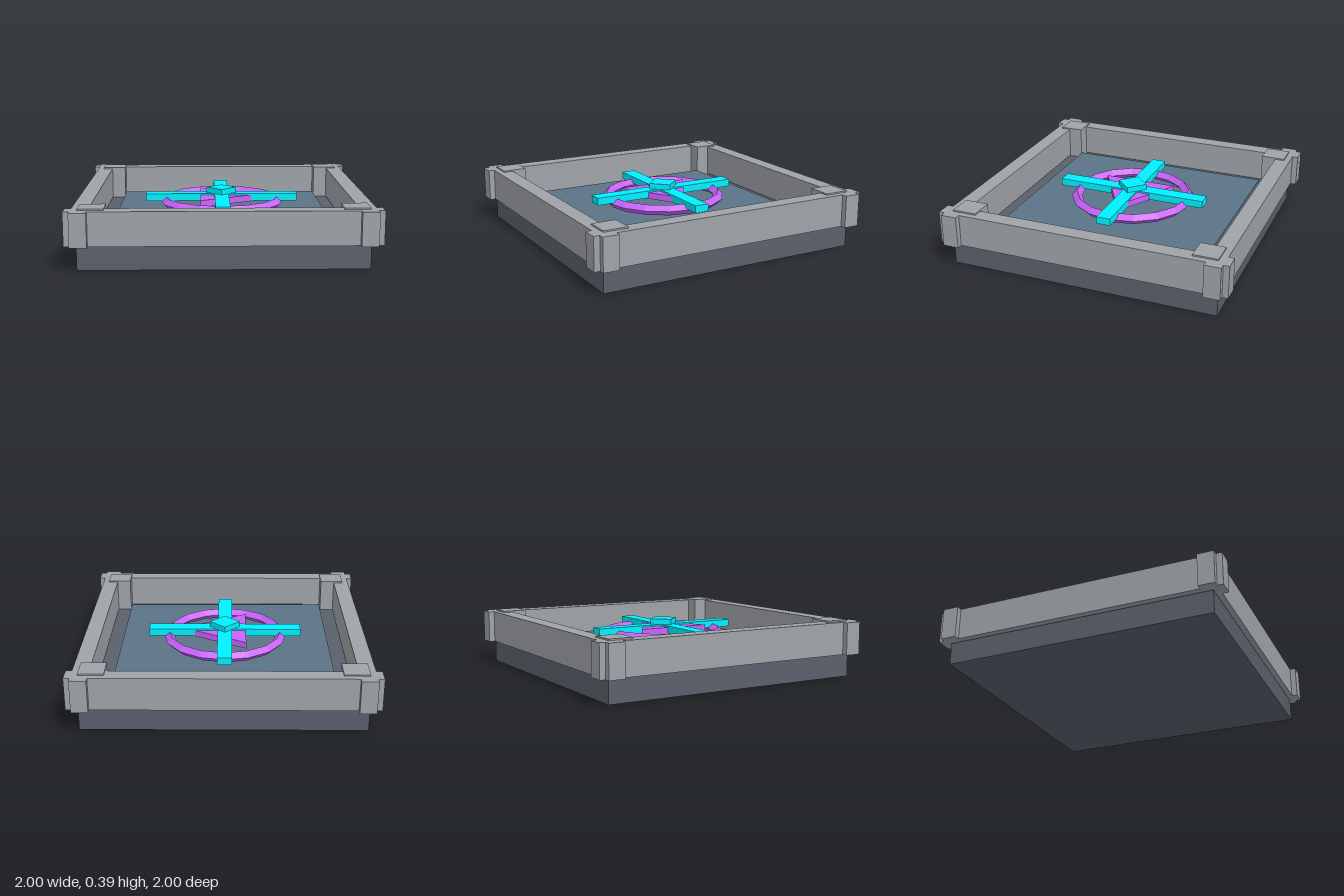
import * as THREE from 'three';

const mat = (color) => new THREE.MeshStandardMaterial({ color, flatShading: true });

export function createModel() {
  const model = new THREE.Group();
  const dark = mat(0x5a606b), blue = mat(0x5b7387), stone = mat(0x9fa3a8);
  const cyan = mat(0x00f0ff), purple = mat(0xc864fc);

  const add = (name, geometry, material, x = 0, y = 0, z = 0) => {
    const mesh = new THREE.Mesh(geometry, material);
    mesh.name = name;
    mesh.position.set(x, y, z);
    model.add(mesh);
    return mesh;
  };
  // Box resting between two heights
  const slab = (name, w, d, y0, y1, material, x = 0, z = 0) =>
    add(name, new THREE.BoxGeometry(w, y1 - y0, d), material, x, (y0 + y1) / 2, z);

  // Plinth and raised floor
  slab('base', 1.85, 1.85, 0, 0.154, dark);
  slab('floorPanel', 1.48, 1.48, 0.15, 0.2, blue);

  // Walls cross at the corners, with a post inside each crossing
  for (const s of [-1, 1]) {
    slab('wallAlongX', 2, 0.11, 0.16, 0.382, stone, 0, s * 0.905);
    slab('wallAlongZ', 0.11, 2, 0.16, 0.382, stone, s * 0.905, 0);
    for (const t of [-1, 1]) {
      slab('cornerPost', 0.167, 0.167, 0.15, 0.392, stone, s * 0.834, t * 0.834);
    }
  }

  // Sixteen-sided ring with a diamond section
  const ring = new THREE.TorusGeometry(0.4, 0.036, 4, 16).rotateX(Math.PI / 2);
  add('ring', ring, purple, 0, 0.267, 0);

  // Triangular plate pointing to +x
  const plate = new THREE.CylinderGeometry(0.3, 0.3, 0.045, 3).rotateY(Math.PI / 2);
  add('trianglePlate', plate, purple, 0, 0.293, 0);

  // Crossed bars and the diamond cap on their centre
  slab('crossBarX', 1.075, 0.1, 0.275, 0.326, cyan);
  slab('crossBarZ', 0.1, 1.075, 0.275, 0.326, cyan);
  slab('centreDiamond', 0.15, 0.15, 0.315, 0.365, cyan).rotation.y = Math.PI / 4;

  return model;
}
